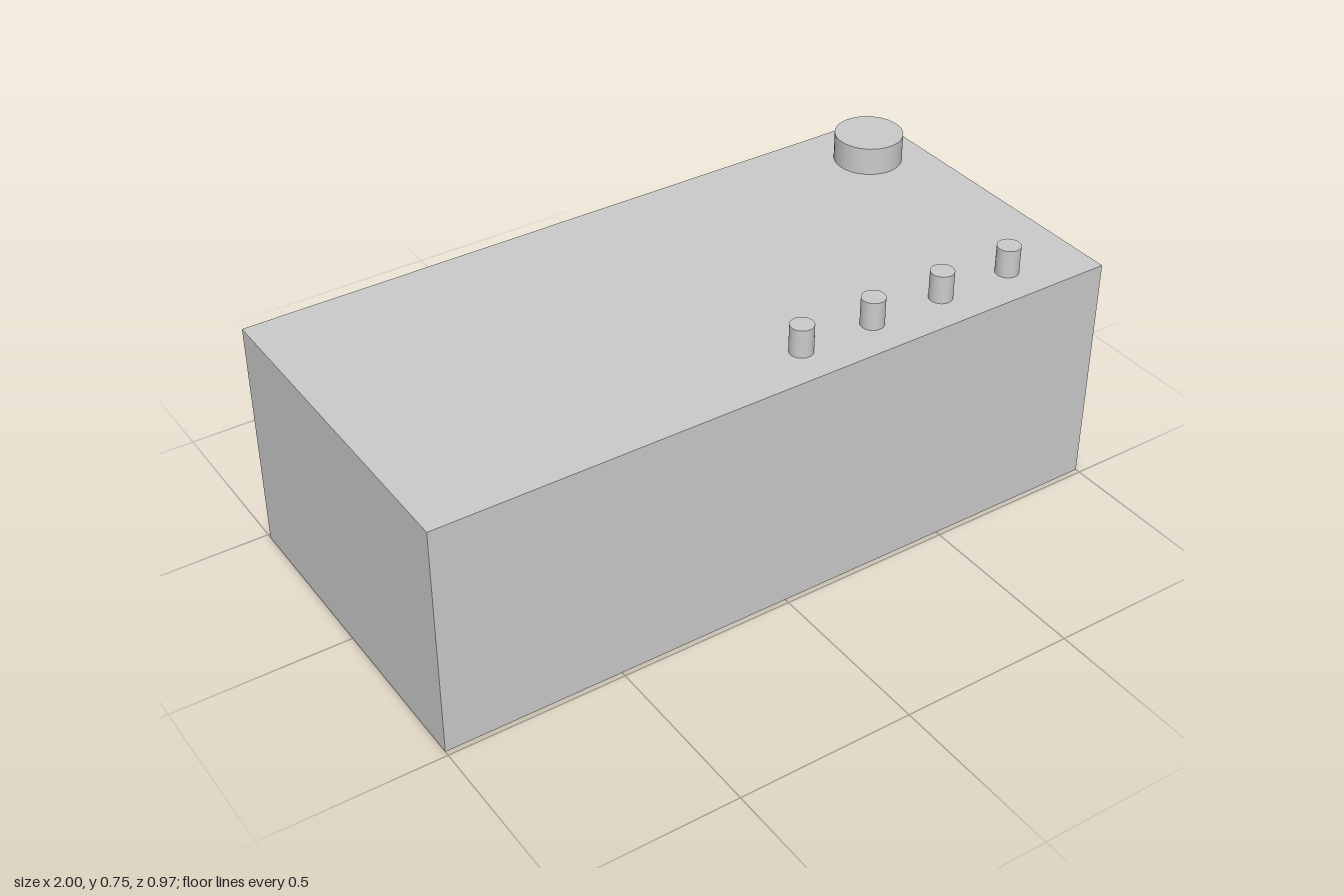
import * as THREE from 'three';

const BODY = { width: 2, height: 0.672, depth: 0.972 };
const KNOB_HEIGHT = 0.08;

export function createModel() {
  const group = new THREE.Group();
  const material = new THREE.MeshStandardMaterial({ color: 0xcccccc, flatShading: true });

  function addPart(name, geometry, x, y, z) {
    const mesh = new THREE.Mesh(geometry, material);
    mesh.name = name;
    mesh.position.set(x, y, z);
    group.add(mesh);
  }

  // Upright cylinder standing on the lid
  function addKnob(name, radius, x, z) {
    const geometry = new THREE.CylinderGeometry(radius, radius, KNOB_HEIGHT, 40);
    addPart(name, geometry, x, BODY.height + KNOB_HEIGHT / 2, z);
  }

  // Plain rectangular housing
  addPart('housing', new THREE.BoxGeometry(BODY.width, BODY.height, BODY.depth), 0, BODY.height / 2, 0);

  // Row of four small knobs along the front edge
  for (let i = 0; i < 4; i++) addKnob(`smallKnob${i + 1}`, 0.032, 0.11 + i * 0.221, 0.37);

  // Large dial in the back corner
  addKnob('largeDial', 0.096, 0.839, -0.309);

  return group;
}
